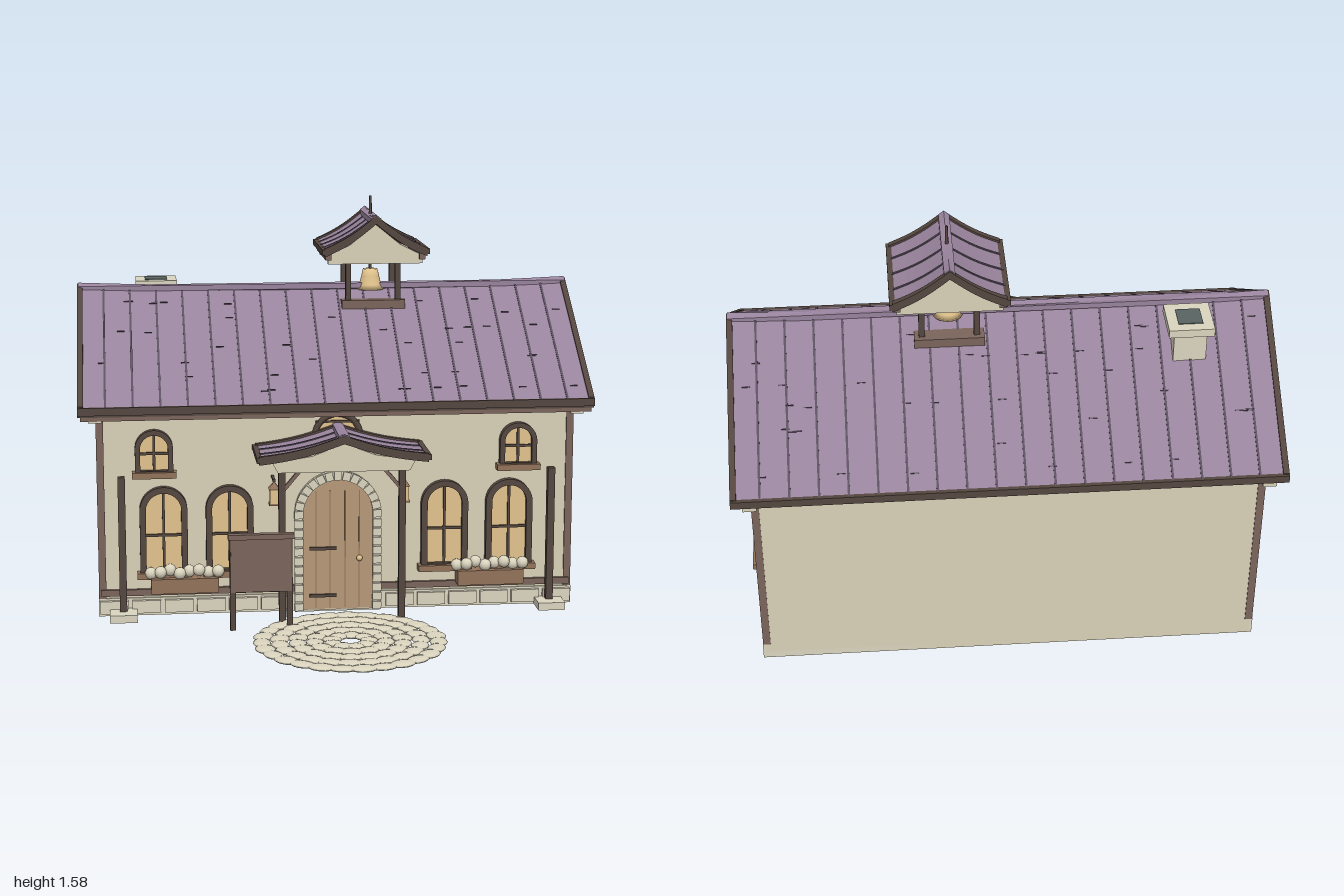
import * as THREE from 'three';

const mat = (name, color) => {
  const m = new THREE.MeshStandardMaterial({ color });
  m.name = name;
  return m;
};
const M = {
  plaster: mat('plaster', 0xd8d1b8), stone: mat('stone', 0xdad4be), roof: mat('roof purple', 0x98839c),
  seam: mat('seam purple', 0x5c5060), timber: mat('timber', 0x7a645b), dark: mat('dark timber', 0x54463f),
  door: mat('door wood', 0xb69877), glow: mat('warm glass and brass', 0xe0c28c),
  iron: mat('iron', 0x586462), sill: mat('sill wood', 0x92735a),
};
const ZC = -0.375, ZF = 0.14; // building centre line and front wall

function add(parent, name, geo, material, x = 0, y = 0, z = 0) {
  const m = new THREE.Mesh(geo, material);
  m.name = name;
  m.position.set(x, y, z);
  parent.add(m);
  return m;
}
// box given by its min and max corners
const box = (p, name, m, x0, x1, y0, y1, z0, z1) =>
  add(p, name, new THREE.BoxGeometry(x1 - x0, y1 - y0, z1 - z0), m, (x0 + x1) / 2, (y0 + y1) / 2, (z0 + z1) / 2);
const group = (p, name, x = 0, y = 0, z = 0) => {
  const g = new THREE.Group();
  g.name = name;
  g.position.set(x, y, z);
  p.add(g);
  return g;
};
const extrude = (shape, depth, steps = 1) =>
  new THREE.ExtrudeGeometry(shape, { depth, steps, bevelEnabled: false, curveSegments: 16 });
const poly = (pts) => new THREE.Shape(pts.map(([x, y]) => new THREE.Vector2(x, y)));

// round-headed outline, base at y0
function arch(r, y0, spring, Kind = THREE.Shape) {
  const s = new Kind();
  s.moveTo(-r, y0);
  s.lineTo(r, y0);
  s.lineTo(r, spring);
  s.absarc(0, spring, r, 0, Math.PI, false);
  s.lineTo(-r, y0);
  return s;
}

// arched window facing +z, with frame, bars and sill
function archWindow(p, r, h, t, barY) {
  const spring = h - r, ring = arch(r, 0, spring);
  ring.holes.push(arch(r - t, t * 0.5, spring, THREE.Path));
  add(p, 'windowFrame', extrude(ring, 0.028), M.dark);
  add(p, 'windowGlass', extrude(arch(r - t, 0.005, spring), 0.008), M.glow);
  box(p, 'verticalBar', M.dark, -0.005, 0.005, 0, h - t, 0.004, 0.016);
  box(p, 'crossBar', M.dark, -r + t, r - t, barY - 0.005, barY + 0.005, 0.004, 0.016);
  box(p, 'windowSill', M.sill, -r - 0.012, r + 0.012, -0.018, 0.006, 0, 0.045);
}

// height of a roof slope, t = 0 at the ridge and 1 at the eave
const slopeY = (o, t) => o.yE + (o.yR - o.yE) * (1 - t - o.flare * Math.sin(Math.PI * t));
const sagAt = (o, t, z) => o.sag * (1 - (2 * z / o.len) ** 2) * (1 - t);

// slab following both slopes between z0 and z1, ridge along z
function slopes(p, name, m, o, z0, z1, up, down) {
  const n = o.flare ? 7 : 1, top = [], low = [];
  for (let i = -n; i <= n; i++) {
    const t = Math.abs(i / n);
    top.push([i / n * o.half, slopeY(o, t) + up]);
    low.unshift([i / n * o.half, slopeY(o, t) - down]);
  }
  const g = extrude(poly([...low, ...top].reverse()), z1 - z0, z1 - z0 > 0.1 ? 14 : 1).translate(0, 0, z0);
  const a = g.attributes.position;
  for (let i = 0; i < a.count; i++)
    a.setY(i, a.getY(i) - sagAt(o, Math.min(1, Math.abs(a.getX(i)) / o.half), a.getZ(i)));
  g.computeVertexNormals();
  return add(p, name, g, m);
}

// roof with seams, edge boards and a ridge cap
function gableRoof(p, o, seams, board) {
  const L = o.len / 2;
  slopes(p, 'roofSlab', M.roof, o, -L + 0.005, L - 0.005, 0, o.thick);
  slopes(p, 'roofUnderside', M.dark, o, -L + 0.01, L - 0.01, -o.thick, o.thick + 0.008);
  for (let i = 1; i < seams; i++) {
    const z = -L + o.len * i / seams;
    slopes(p, 'roofSeam', M.seam, o, z - 0.004, z + 0.004, 0.004, 0);
  }
  for (const s of [-1, 1]) {
    const e = s * (L - board / 2);
    slopes(p, 'edgeBoard', M.dark, o, e - board / 2, e + board / 2, 0.008, o.thick + 0.008);
    box(p, 'eaveBoard', M.dark, s * o.half - 0.01, s * o.half + 0.01, o.yE - o.thick, o.yE + 0.004, -L, L);
  }
  const cap = { ...o, half: 0.02, yE: slopeY(o, 0.02 / o.half), flare: 0 };
  slopes(p, 'ridgeCap', M.roof, cap, -L + 0.005, L - 0.005, 0.012, 0.01);
}

function buildWalls(root) {
  const walls = group(root, 'house');
  const gable = poly([[-0.515, 0], [0.515, 0], [0.515, 0.815], [0, 1.16], [-0.515, 0.815]]);
  add(walls, 'walls', extrude(gable, 1.84).translate(0, 0, -0.92), M.plaster, 0, 0, ZC).rotation.y = Math.PI / 2;
  box(walls, 'plinth', M.stone, -0.93, 0.93, 0, 0.07, ZC - 0.515, ZC + 0.522);
  for (const s of [-1, 1]) {
    for (const z of [ZF - 0.01, ZC - 0.502])
      box(walls, 'cornerPost', M.timber, s * 0.914 - 0.014, s * 0.914 + 0.014, 0.07, 0.8, z - 0.016, z + 0.016);
    for (const z of [0.172, -0.918])
      box(walls, 'eaveCorbel', M.plaster, s * 0.93 - 0.025, s * 0.93 + 0.025, 0.775, 0.81, z - 0.028, z + 0.028);
    box(walls, 'baseBeam', M.timber, s > 0 ? 0.17 : -0.92, s > 0 ? 0.92 : -0.17, 0.08, 0.105, ZF, ZF + 0.014);
    // plinth stones beside the door
    for (let i = 0; i < 6; i++) {
      const x = s * (0.245 + i * 0.125);
      box(walls, 'plinthStone', M.stone, x - 0.055, x + 0.055, 0.012, 0.062, ZF, ZF + 0.022);
    }
    // rake trim on each gable wall
    const rake = group(walls, 'gableTrim', 0, 0, ZC);
    rake.rotation.y = Math.PI / 2;
    const o = { half: 0.515, yE: 0.815, yR: 1.185, flare: 0, len: 2, sag: 0 };
    slopes(rake, 'rakeBoard', M.timber, o, s * 0.93 - 0.012, s * 0.93 + 0.012, 0, 0.03);
  }
  box(walls, 'wallTopBeam', M.timber, -0.985, 0.985, 0.782, 0.808, ZF, ZF + 0.062);

  for (const s of [-1, 1]) {
    for (const x of [0.42, 0.675]) archWindow(group(walls, 'tallWindow', s * x, 0.17, ZF), 0.092, 0.342, 0.024, 0.15);
    archWindow(group(walls, 'smallWindow', s * 0.708, 0.568, ZF), 0.073, 0.168, 0.02, 0.075);
    // planter with rounded blooms
    const planter = group(walls, 'planter', s * 0.597, 0, ZF);
    box(planter, 'planterBox', M.sill, -0.13, 0.13, 0.1, 0.158, 0, 0.07);
    for (let i = 0; i < 8; i++)
      add(planter, 'bloom', new THREE.SphereGeometry(0.024, 10, 8), M.stone, -0.13 + i * 0.037, 0.175 + (i % 3) * 0.006, 0.035 + (i % 2) * 0.012);
    // standing post on a stone foot
    box(walls, 'postFoot', M.stone, s * 0.835 - 0.053, s * 0.835 + 0.053, 0, 0.03, 0.145, 0.248);
    box(walls, 'standingPost', M.dark, s * 0.835 - 0.014, s * 0.835 + 0.014, 0.03, 0.56, 0.165, 0.195);
  }
  const side = group(walls, 'sideWindow', 0.92, 0.18, ZC);
  side.rotation.y = Math.PI / 2;
  archWindow(side, 0.188, 0.385, 0.026, 0.175);
  // round window above the porch
  const round = group(walls, 'roundWindow', 0, 0.695, ZF);
  add(round, 'roundGlass', new THREE.CircleGeometry(0.085, 24), M.glow, 0, 0, 0.008);
  add(round, 'roundFrame', new THREE.TorusGeometry(0.088, 0.012, 8, 28), M.dark, 0, 0, 0.008);
  box(round, 'roundWindowBar', M.dark, -0.085, 0.085, 0.055, 0.063, 0.006, 0.016);
}

function buildMainRoof(root) {
  const roof = group(root, 'mainRoof', 0, 0, ZC);
  roof.rotation.y = Math.PI / 2;
  const o = { half: 0.58, yE: 0.832, yR: 1.225, flare: 0, len: 1.99, sag: 0.022, thick: 0.026 };
  gableRoof(roof, o, 19, 0.022);
  // thin shingle edges scattered over both slopes
  let seed = 7;
  const rnd = () => (seed = (seed * 16807) % 2147483647) / 2147483647;
  for (let i = 0; i < 80; i++) {
    const s = i % 2 ? 1 : -1, t = (1 + Math.floor(rnd() * 7)) / 8 + rnd() * 0.02, z = (rnd() - 0.5) * 1.88;
    const d = add(roof, 'shingleEdge', new THREE.BoxGeometry(0.003, 0.008, 0.03), M.seam,
      s * t * o.half, slopeY(o, t) - sagAt(o, t, z), z);
    d.rotation.z = -s * Math.atan2(o.yR - o.yE, o.half);
  }
  const ch = group(root, 'chimney', -0.677, 0, -0.517);
  box(ch, 'chimneyStack', M.stone, -0.06, 0.06, 1.0, 1.2, -0.06, 0.06);
  box(ch, 'chimneyCap', M.stone, -0.083, 0.083, 1.2, 1.232, -0.083, 0.083);
  box(ch, 'chimneyOpening', M.iron, -0.045, 0.045, 1.23, 1.235, -0.045, 0.045);
}

function buildTurret(root) {
  const t = group(root, 'bellTurret', 0.19, 0, -0.378);
  gableRoof(t, { half: 0.205, yE: 1.375, yR: 1.505, flare: 0.1, len: 0.395, sag: 0.015, thick: 0.018 }, 4, 0.022);
  const fill = poly([[-0.19, 1.318], [0.19, 1.318], [0.19, 1.35], [0.1, 1.395], [0, 1.475], [-0.1, 1.395], [-0.19, 1.35]]);
  for (const z of [-0.17, 0.15]) add(t, 'turretGable', extrude(fill, 0.02), M.plaster, 0, 0, z);
  box(t, 'turretBase', M.timber, -0.128, 0.128, 1.13, 1.165, -0.12, 0.12);
  for (const s of [-1, 1]) {
    box(t, 'turretBeam', M.timber, s * 0.188 - 0.012, s * 0.188 + 0.012, 1.335, 1.362, -0.18, 0.18);
    for (const z of [-0.09, 0.09])
      box(t, 'turretPost', M.dark, s * 0.1 - 0.011, s * 0.1 + 0.011, 1.1, 1.4, z - 0.011, z + 0.011);
  }
  const bell = [[0, 1.2], [0.055, 1.195], [0.045, 1.215], [0.036, 1.25], [0.03, 1.278], [0, 1.28]];
  add(t, 'bell', new THREE.LatheGeometry(bell.map(([x, y]) => new THREE.Vector2(x, y)), 20), M.glow);
  add(t, 'bellRod', new THREE.CylinderGeometry(0.006, 0.006, 0.2, 8), M.dark, 0, 1.375, 0);
  add(t, 'finial', new THREE.CylinderGeometry(0.005, 0.007, 0.09, 8), M.dark, 0, 1.53, 0);
}

function buildEntrance(root) {
  const e = group(root, 'entrance', 0, 0, ZF);
  add(e, 'door', extrude(arch(0.14, 0.005, 0.39), 0.012), M.door);
  for (const x of [-0.085, -0.03, 0.03, 0.085]) box(e, 'doorGroove', M.sill, x - 0.002, x + 0.002, 0.01, 0.48, 0.008, 0.014);
  for (const y of [0.06, 0.25]) box(e, 'doorHinge', M.dark, -0.11, -0.005, y - 0.006, y + 0.006, 0.01, 0.02);
  add(e, 'doorKnob', new THREE.SphereGeometry(0.012, 10, 8), M.glow, 0.085, 0.21, 0.022);
  const ring = arch(0.168, 0, 0.39);
  ring.holes.push(arch(0.138, 0, 0.39, THREE.Path));
  add(e, 'doorSurround', extrude(ring, 0.025), M.stone);
  // separate stones around the arch and down the jambs
  const stone = (x, y, a) => {
    add(e, 'archStone', new THREE.BoxGeometry(0.034, 0.03, 0.014), M.stone, x, y, 0.028).rotation.z = a;
  };
  for (let i = 0; i <= 14; i++) {
    const a = Math.PI * i / 14;
    stone(Math.cos(a) * 0.153, 0.39 + Math.sin(a) * 0.153, a);
  }
  for (let i = 0; i < 10; i++) for (const s of [-1, 1]) stone(s * 0.153, 0.02 + i * 0.037, 0);

  // porch canopy
  const c = group(root, 'porch', 0, 0, 0.272);
  gableRoof(c, { half: 0.32, yE: 0.665, yR: 0.74, flare: 0.16, len: 0.255, sag: 0.01, thick: 0.016 }, 3, 0.018);
  const fill = poly([[-0.25, 0.608], [0.25, 0.608], [0.27, 0.645], [0.12, 0.67], [0, 0.715], [-0.12, 0.67], [-0.27, 0.645]]);
  add(c, 'porchGable', extrude(fill, 0.02), M.plaster, 0, 0, 0.096);
  for (const s of [-1, 1]) {
    const x = s * 0.23;
    box(c, 'porchBeam', M.timber, x - 0.014, x + 0.014, 0.612, 0.64, -0.13, 0.115);
    box(c, 'porchPost', M.dark, x - 0.013, x + 0.013, 0, 0.615, 0.03, 0.056);
    const brace = add(c, 'porchBrace', new THREE.BoxGeometry(0.014, 0.12, 0.016), M.timber, s * 0.195, 0.56, 0.043);
    brace.rotation.z = s * 0.7;
    // wall lantern
    const lamp = group(c, 'lantern', s * 0.252, 0.48, -0.06);
    box(lamp, 'lanternGlass', M.glow, -0.017, 0.017, -0.028, 0.028, -0.017, 0.017);
    box(lamp, 'lanternFoot', M.sill, -0.02, 0.02, -0.036, -0.028, -0.02, 0.02);
    add(lamp, 'lanternCap', new THREE.ConeGeometry(0.03, 0.03, 4), M.sill, 0, 0.043, 0).rotation.y = Math.PI / 4;
    box(lamp, 'lanternArm', M.dark, -0.005, 0.005, 0.055, 0.065, -0.075, 0.005);
  }
}

function buildYard(root) {
  const sign = group(root, 'noticeBoard', -0.315, 0, 0.382);
  box(sign, 'board', M.timber, -0.115, 0.115, 0.15, 0.36, -0.007, 0.009);
  box(sign, 'boardTop', M.timber, -0.125, 0.125, 0.355, 0.375, -0.015, 0.015);
  for (const s of [-1, 1]) box(sign, 'boardLeg', M.dark, s * 0.108 - 0.011, s * 0.108 + 0.011, 0, 0.36, -0.012, 0.006);
  // paved circle of overlapping flat stones
  const path = group(root, 'pavedCircle', 0, 0.011, 0.595);
  [[0.07, 9], [0.132, 13], [0.197, 18], [0.263, 23], [0.328, 27]].forEach(([r, n], k) => {
    for (let i = 0; i < n; i++) {
      const a = (i + k * 0.4) / n * Math.PI * 2;
      const s = add(path, 'pavingStone', new THREE.SphereGeometry(1, 12, 6), M.stone, Math.cos(a) * r, 0, Math.sin(a) * r);
      s.scale.set(0.034 + 0.004 * (i % 2), 0.01, Math.PI * r / n * 1.4);
      s.rotation.y = -a;
    }
  });
}

export function createModel() {
  const root = new THREE.Group();
  root.name = 'villageHall';
  buildWalls(root);
  buildMainRoof(root);
  buildTurret(root);
  buildEntrance(root);
  buildYard(root);
  return root;
}
